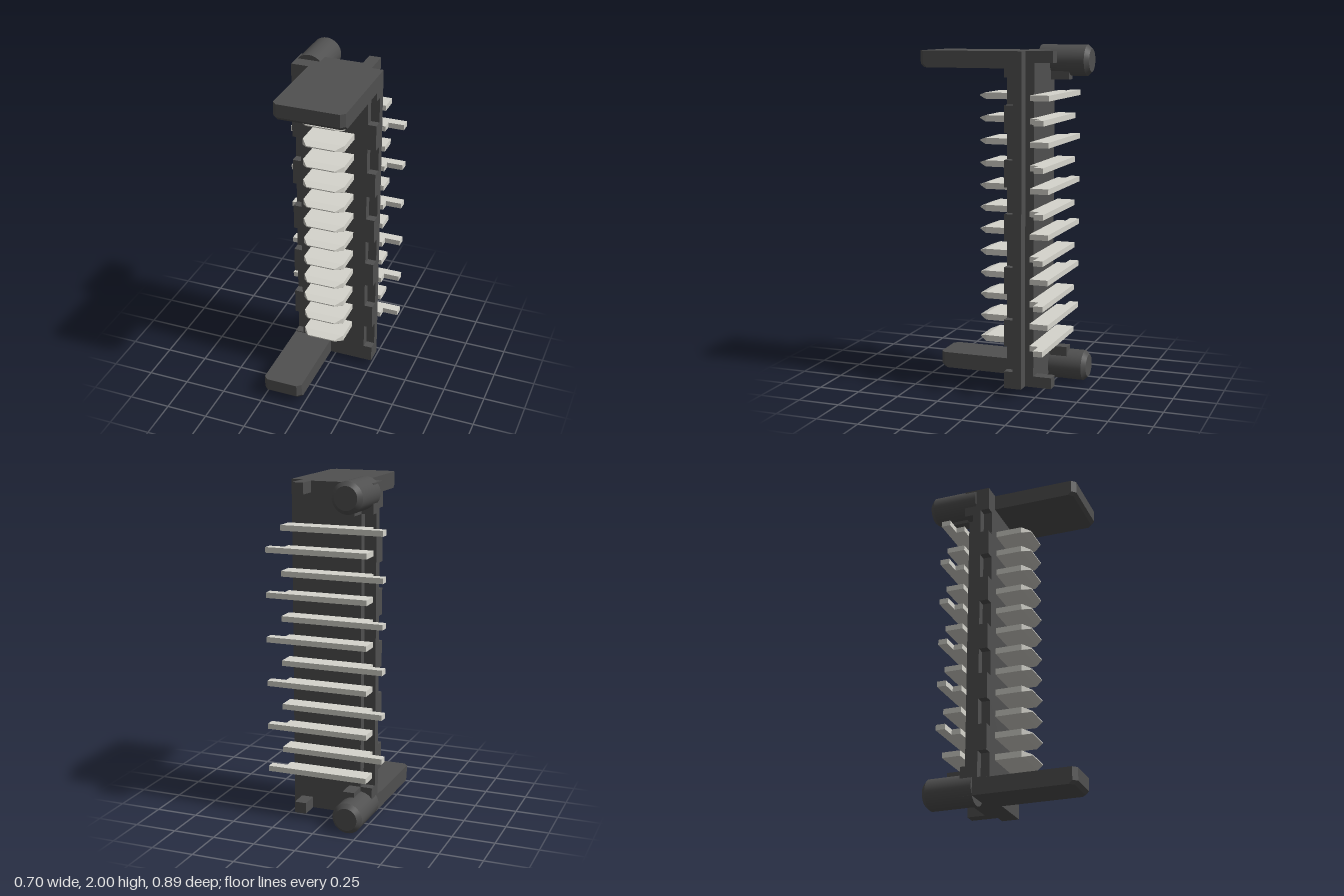
import * as THREE from 'three';
import { ConvexGeometry } from 'three/addons/geometries/ConvexGeometry.js';

const dark = new THREE.MeshStandardMaterial({ color: 0x505050, flatShading: true });
const darkSmooth = new THREE.MeshStandardMaterial({ color: 0x505050 });
const metal = new THREE.MeshStandardMaterial({ color: 0xd6d5cd, flatShading: true });

const V = (x, y, z) => new THREE.Vector3(x, y, z);

function add(parent, name, geometry, material) {
  const mesh = new THREE.Mesh(geometry, material);
  mesh.name = name;
  parent.add(mesh);
  return mesh;
}

// Box given by its limits on each axis
function box(parent, name, [x0, x1], [y0, y1], [z0, z1], material = dark) {
  const mesh = add(parent, name, new THREE.BoxGeometry(x1 - x0, y1 - y0, z1 - z0), material);
  mesh.position.set((x0 + x1) / 2, (y0 + y1) / 2, (z0 + z1) / 2);
  return mesh;
}

// Flat polygon in x,y extruded between two z values
function slab(parent, name, points, z0, z1, material) {
  const shape = new THREE.Shape(points.map(([x, y]) => new THREE.Vector2(x, y)));
  const geometry = new THREE.ExtrudeGeometry(shape, { depth: z1 - z0, bevelEnabled: false });
  geometry.translate(0, 0, z0);
  return add(parent, name, geometry, material);
}

const BOTTOM = 0.04, TOP = 1.97, HALF = 0.254;
const FRONT = -0.063, BACK = -0.217;

// Front layer with rectangular notches down both edges
function notchedFace(parent) {
  const right = [[HALF, BOTTOM]];
  for (let i = 0; i < 6; i++) {
    const y0 = 0.14 + i * 0.3065, y1 = y0 + 0.152;
    right.push([HALF, y0], [0.203, y0], [0.203, y1], [HALF, y1]);
  }
  right.push([HALF, TOP]);
  const left = right.map(([x, y]) => [-x, y]).reverse();
  slab(parent, 'notchedFace', [...right, ...left], -0.115, FRONT, dark);
}

// Forward arm with chamfered front corners and a bevelled lower front edge
function arm(parent, name, x0, x1, y0, y1) {
  const c = 0.025, points = [];
  for (const [y, inset] of [[y0, 0.02], [y0 + 0.02, 0], [y1, 0]]) {
    points.push(V(x0, y, -0.1), V(x1, y, -0.1));
    points.push(V(x0, y, 0.45 - c - inset), V(x1, y, 0.45 - c - inset));
    points.push(V(x0 + c, y, 0.45 - inset), V(x1 - c, y, 0.45 - inset));
  }
  add(parent, name, new ConvexGeometry(points), dark);
}

// Round locating peg with a chamfered rear end
function peg(parent, y) {
  const r = 0.09;
  const group = new THREE.Group();
  group.name = 'locatingPeg';
  add(group, 'pegShaft', new THREE.CylinderGeometry(r, r, 0.275, 40), darkSmooth).position.y = 0.1375;
  add(group, 'pegChamfer', new THREE.CylinderGeometry(r - 0.024, r, 0.025, 40), darkSmooth).position.y = 0.2875;
  group.rotation.x = -Math.PI / 2;
  group.position.set(-0.18, y, -0.145);
  parent.add(group);
}

// Contact: wedge-tipped blade in front, stepped solder tail behind
function contact(parent, y, side) {
  const group = new THREE.Group();
  group.name = 'contact';
  const points = [];
  for (const [z, w, h] of [[-0.1, 0.125, 0.018], [0.095, 0.125, 0.018], [0.1, 0.12, 0.018], [0.145, 0.085, 0.003]]) {
    for (const sx of [-1, 1]) for (const sy of [-1, 1]) points.push(V(sx * w, sy * h, z));
  }
  add(group, 'blade', new ConvexGeometry(points), metal);

  // Tail outline in plan, laid flat
  const plan = [[-0.256, 0.217], [0.256, 0.217], [0.256, 0.27], [0.35, 0.27], [0.35, 0.325], [-0.256, 0.325]]
    .map(([x, z]) => [x * side, z]);
  slab(group, 'tail', plan, -0.016, 0.016, metal).rotation.x = -Math.PI / 2;
  group.position.y = y;
  parent.add(group);
}

export function createModel() {
  const model = new THREE.Group();
  model.name = 'pinHeader';

  // Housing in three layers, narrower at the rear
  const housing = new THREE.Group();
  housing.name = 'housing';
  model.add(housing);
  notchedFace(housing);
  box(housing, 'middleLayer', [-HALF, HALF], [BOTTOM, TOP], [-0.166, -0.115]);
  box(housing, 'rearLayer', [-0.185, 0.185], [BOTTOM, TOP], [BACK, -0.166]);

  // Thick corners behind the pegs
  box(housing, 'pegCorner', [-HALF, -0.185], [BOTTOM, 0.21], [BACK, -0.166]);
  box(housing, 'pegCorner', [-HALF, -0.185], [1.80, TOP], [BACK, -0.166]);

  // Arms reaching forward
  arm(housing, 'upperArm', -0.153, HALF, 1.875, TOP);
  arm(housing, 'lowerArm', -HALF, -0.015, BOTTOM, 0.135);

  // Standoff feet and pegs on the rear
  for (const [x0, y0] of [[0.115, BOTTOM], [0.115, 1.905], [-0.185, 0.145], [-0.185, 1.80]]) {
    box(housing, 'standoff', [x0, x0 + 0.07], [y0, y0 + 0.065], [-0.325, BACK]);
  }
  peg(housing, 0.092);
  peg(housing, 1.91);

  // Row of contacts with tails alternating side to side
  for (let i = 0; i < 12; i++) contact(model, 0.29 + i * 0.1295, i % 2 ? -1 : 1);

  return model;
}
